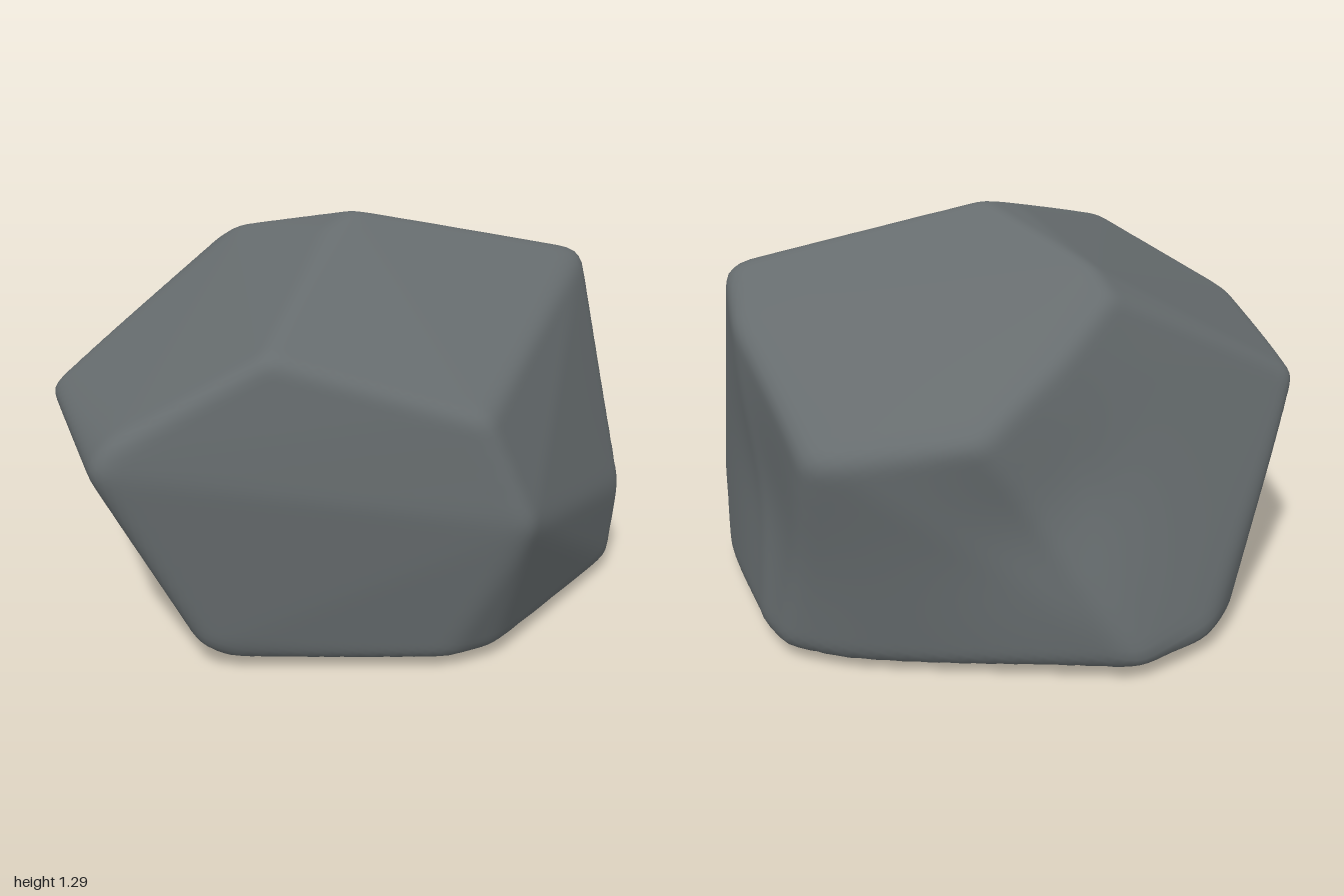
import * as THREE from 'three';
import { mergeVertices } from 'three/addons/utils/BufferGeometryUtils.js';
import { ConvexGeometry } from 'three/addons/geometries/ConvexGeometry.js';

const V = (x, y, z) => new THREE.Vector3(x, y, z);
const CENTRE = V(0, 0.6, 0);
const WEAR = 1.01; // rough corners stand slightly proud before the edges are worn

// Corners of the boulder's large facets
const corners = [
  // upper crown
  V(-0.02, 1.29, -0.14), V(0, 1.255, 0), V(-0.48, 1.165, -0.02), V(-0.59, 1.1, -0.02),
  V(0.42, 1.07, 0.58), V(0.84, 0.88, 0.1), V(0.33, 1.1, -0.87), V(0.1, 1.0, -0.945),
  V(-0.68, 0.96, -0.25), V(-0.76, 0.8, -0.56), V(-0.48, 0.73, -0.98), V(-0.53, 0.74, -0.94),
  // widest points around the middle
  V(0.11, 0.72, 1.0), V(0.14, 0.81, 0.95), V(-0.57, 0.73, 0.71), V(0.945, 0.55, 0), V(0.61, 0.33, -0.82),
  // base outline
  V(0.25, 0.1, 0.71), V(0.28, 0.04, 0.62), V(0.72, 0.04, 0.12), V(0.76, 0.04, -0.05), V(0.57, 0.02, -0.83),
  V(0.48, 0, -0.86), V(0.45, 0, -0.6), V(-0.1, 0.015, -1.0), V(-0.25, 0.02, -1.0), V(-0.4, 0.02, -0.86),
  V(-0.55, 0.04, -0.56), V(-0.94, 0.04, -0.1), V(-0.89, 0.04, 0.15), V(-0.78, 0.05, 0.31),
].map((p) => p.sub(CENTRE).multiplyScalar(WEAR));

// Shallow hollows: direction from the centre, depth, tightness
const hollows = [
  [V(-0.1, -0.2, -0.95).normalize(), 0.06, 14],
  [V(-0.82, -0.09, -0.38).normalize(), 0.055, 16],
];

// Facet planes, scaled so that dot(plane, point) = 1 on the facet
function facetPlanes() {
  const pos = new ConvexGeometry(corners).getAttribute('position');
  const planes = [];
  for (let i = 0; i < pos.count; i += 3) {
    const [a, b, c] = [0, 1, 2].map((k) => V().fromBufferAttribute(pos, i + k));
    const n = b.clone().sub(a).cross(c.sub(a)).normalize();
    planes.push(n.divideScalar(n.dot(a)));
  }
  return planes;
}

// Ball pressed against the facets; averaging nearby directions wears the edges
function boulderGeometry() {
  let geo = new THREE.IcosahedronGeometry(1, 44);
  geo.deleteAttribute('normal');
  geo.deleteAttribute('uv');
  geo = mergeVertices(geo, 1e-5);
  const planes = facetPlanes();
  const distance = (dir) => 1 / planes.reduce((m, n) => Math.max(m, n.dot(dir)), 0);
  const pos = geo.getAttribute('position');
  const d = V(), u = V(), w = V(), s = V();
  for (let i = 0; i < pos.count; i++) {
    d.fromBufferAttribute(pos, i).normalize();
    u.set(d.y, d.z, -d.x).cross(d).normalize();
    w.crossVectors(d, u);
    let r = distance(d);
    for (let k = 0; k < 14; k++) {
      const spread = k % 2 ? 0.025 : 0.05;
      const angle = (k / 14) * Math.PI * 2;
      s.copy(d).addScaledVector(u, spread * Math.cos(angle)).addScaledVector(w, spread * Math.sin(angle));
      r += distance(s.normalize());
    }
    r /= 15;
    for (const [dir, depth, tight] of hollows) r -= depth * Math.exp(-tight * (1 - dir.dot(d)));
    pos.setXYZ(i, d.x * r, d.y * r, d.z * r);
  }

  // Stand it on the ground, centred
  geo.computeBoundingBox();
  const mid = geo.boundingBox.getCenter(V());
  geo.translate(-mid.x, -geo.boundingBox.min.y, -mid.z);
  geo.computeVertexNormals();
  return geo;
}

export function createModel() {
  const group = new THREE.Group();
  group.name = 'rock';
  const stone = new THREE.MeshStandardMaterial({ color: 0x666c6e });
  stone.name = 'grey stone';
  const boulder = new THREE.Mesh(boulderGeometry(), stone);
  boulder.name = 'boulder';
  group.add(boulder);
  return group;
}
